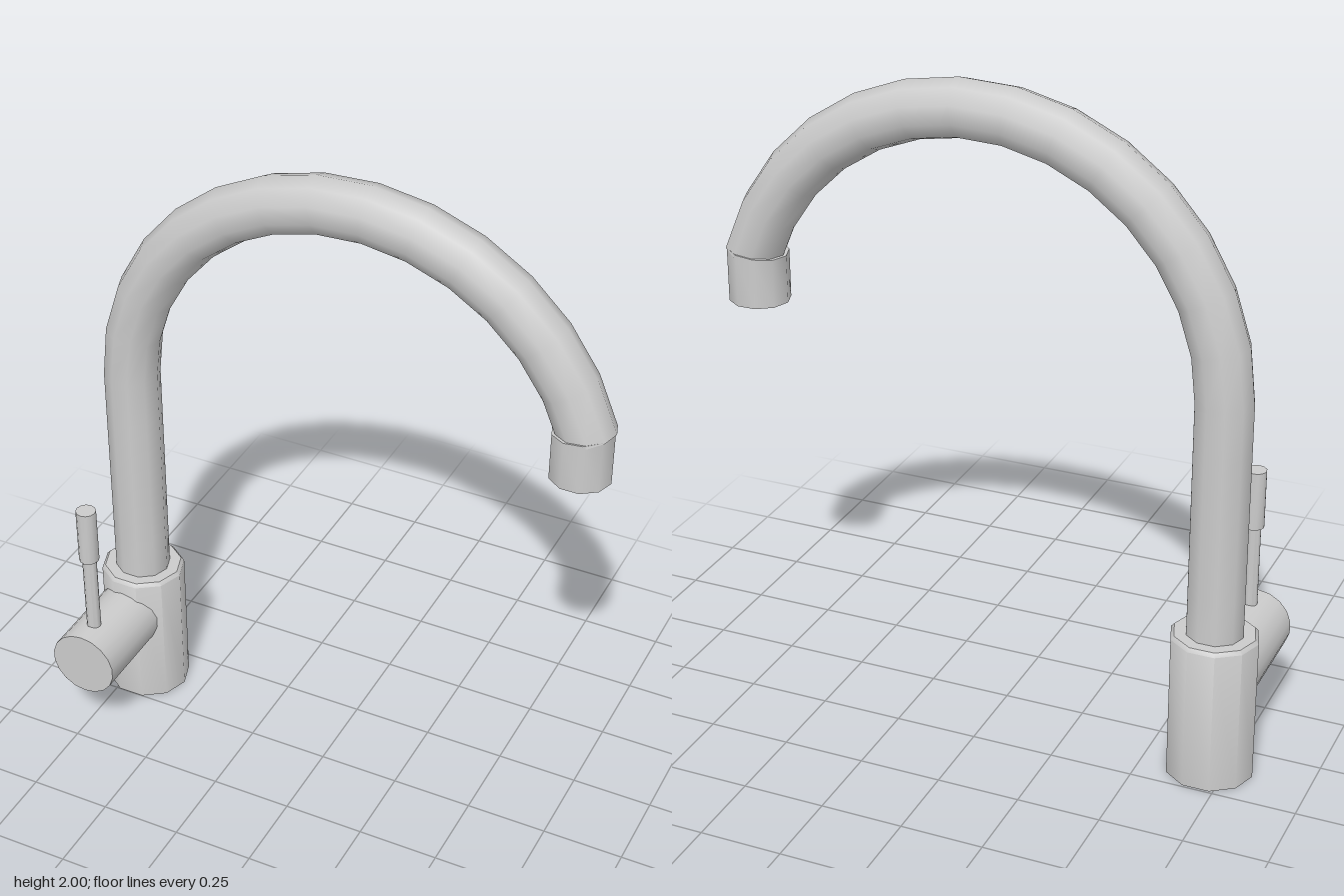
import * as THREE from 'three';
import { toCreasedNormals } from 'three/addons/utils/BufferGeometryUtils.js';

const SIDES = 10;
const FLATTEN = 0.965; // sections are slightly narrower in depth
const AXIS_Z = -0.122; // plane of body and spout
const BODY_X = -0.698;

// Gooseneck centre line in the y/z plane: straight riser, then an arc
class GooseneckCurve extends THREE.Curve {
  getPoint(t, target = new THREE.Vector3()) {
    const bottom = 0.43, spring = 1.175, radius = 0.738;
    const rise = spring - bottom;
    const sweep = THREE.MathUtils.degToRad(163);
    const d = t * (rise + radius * sweep);
    if (d <= rise) return target.set(0, bottom + d, BODY_X);
    const a = Math.PI - (d - rise) / radius;
    return target.set(0, spring + radius * Math.sin(a), BODY_X + radius + radius * Math.cos(a));
  }
}

export function createModel() {
  const group = new THREE.Group();
  const material = new THREE.MeshStandardMaterial({ color: 0xcccccc, side: THREE.DoubleSide });

  const add = (name, geometry, x, y, z) => {
    const mesh = new THREE.Mesh(toCreasedNormals(geometry, 0.72), material);
    mesh.name = name;
    mesh.position.set(x, y, z);
    group.add(mesh);
    return mesh;
  };
  const lathe = (points, sides) => new THREE.LatheGeometry(
    points.map(([r, y]) => new THREE.Vector2(r, y)), sides, Math.PI / 2);

  // Body with a small bevel round its top
  add('body', lathe([[0, 0], [0.132, 0], [0.132, 0.445], [0.122, 0.456], [0, 0.456]], SIDES)
    .scale(1, 1, FLATTEN), BODY_X, 0, AXIS_Z);

  // Gooseneck pipe
  const pipe = new THREE.TubeGeometry(new GooseneckCurve(), 19, 0.086, SIDES, false);
  add('gooseneck', pipe.rotateY(Math.PI / 2).scale(1, 1, FLATTEN), 0, 0, AXIS_Z);

  // Outlet collar: recessed below, with a top edge that slopes with the pipe
  const collar = lathe([
    [0.072, 0.06], [0.077, 0.005], [0.079, 0], [0.0915, 0], [0.0915, 0.155], [0.08, 0.155], [0, 0.125],
  ], SIDES);
  const p = collar.attributes.position;
  for (let i = 0; i < p.count; i++) {
    if (p.getY(i) > 0.1) p.setY(i, p.getY(i) + 0.11 * p.getX(i));
  }
  add('outletCollar', collar.scale(1, 1, FLATTEN), 0.733, 1.25, AXIS_Z);
  add('outletScreen', new THREE.CircleGeometry(0.075, SIDES).rotateX(Math.PI / 2), 0.733, 1.305, AXIS_Z);

  // Valve barrel reaching forward from the body
  const valve = new THREE.CylinderGeometry(0.106, 0.106, 0.345, 18);
  add('valveBarrel', valve.rotateX(Math.PI / 2), -0.711, 0.301, 0.0725);

  // Lever rod and its thicker grip
  add('leverRod', new THREE.CylinderGeometry(0.022, 0.022, 0.31, 12), -0.712, 0.525, 0.165);
  add('leverGrip', new THREE.CylinderGeometry(0.031, 0.031, 0.182, 12), -0.712, 0.752, 0.165);

  return group;
}
